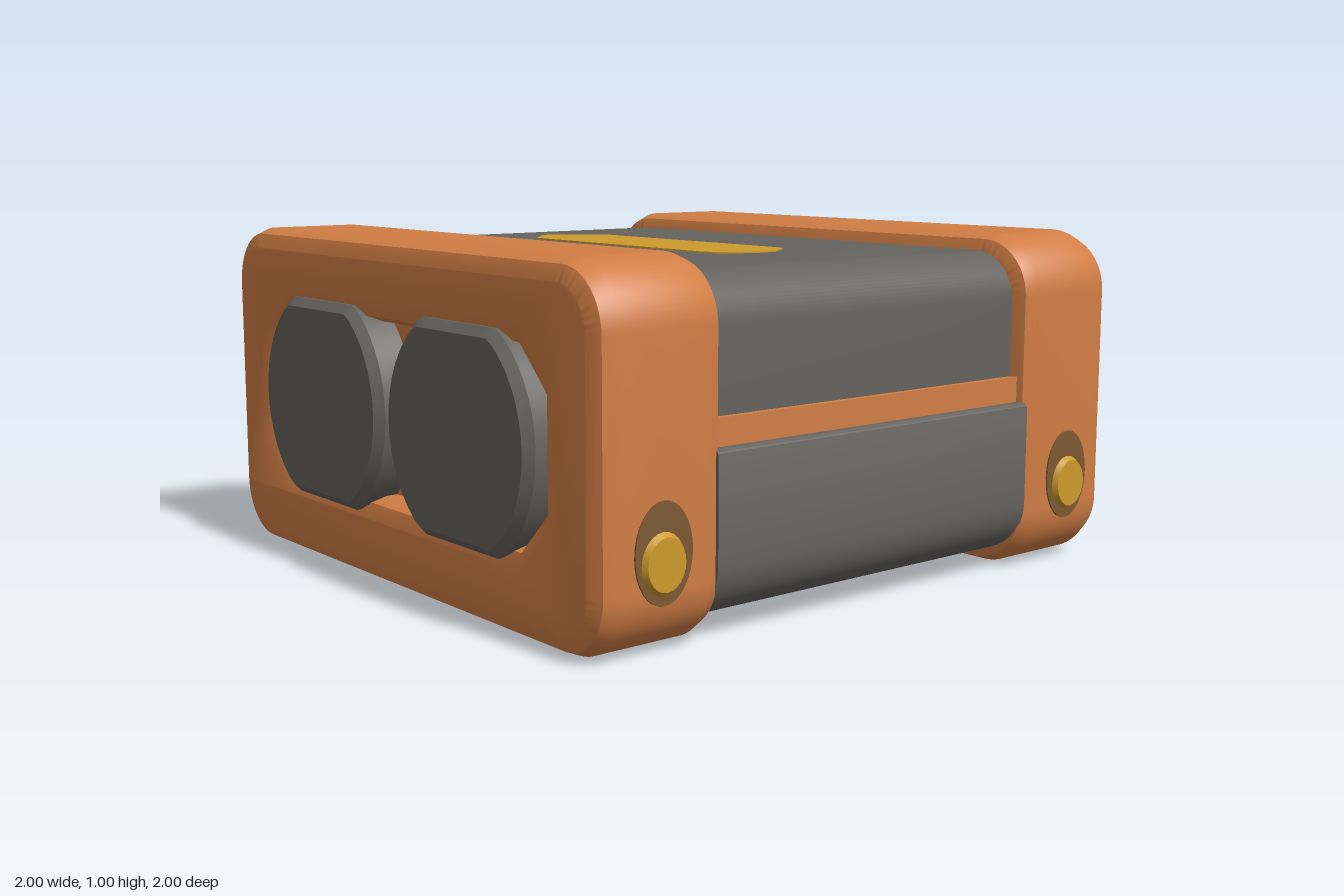
import * as THREE from 'three';
import { toCreasedNormals } from 'three/addons/utils/BufferGeometryUtils.js';

const material = (name, color) => {
  const m = new THREE.MeshStandardMaterial({ color });
  m.name = name;
  return m;
};

// Rounded rectangle with a separate radius for the bottom and top corners
function roundedRect(x, y0, y1, rBottom, rTop) {
  const s = new THREE.Shape();
  s.moveTo(-x + rBottom, y0);
  s.lineTo(x - rBottom, y0);
  if (rBottom) s.absarc(x - rBottom, y0 + rBottom, rBottom, -Math.PI / 2, 0);
  s.lineTo(x, y1 - rTop);
  if (rTop) s.absarc(x - rTop, y1 - rTop, rTop, 0, Math.PI / 2);
  s.lineTo(-x + rTop, y1);
  if (rTop) s.absarc(-x + rTop, y1 - rTop, rTop, Math.PI / 2, Math.PI);
  s.lineTo(-x, y0 + rBottom);
  if (rBottom) s.absarc(-x + rBottom, y0 + rBottom, rBottom, Math.PI, Math.PI * 1.5);
  return s;
}

const polygon = (points) => new THREE.Shape(points.map(([x, y]) => new THREE.Vector2(x, y)));

// Extrude between z0 and z1, with an optional inward bevel at both ends
function extrude(shape, z0, z1, bevel = 0, segments = 2) {
  const g = new THREE.ExtrudeGeometry(shape, {
    depth: z1 - z0 - 2 * bevel, curveSegments: 10, bevelEnabled: bevel > 0,
    bevelSize: bevel, bevelThickness: bevel, bevelOffset: -bevel, bevelSegments: segments,
  });
  g.translate(0, 0, z0 + bevel);
  return toCreasedNormals(g, 0.7);
}

export function createModel() {
  const orange = material('orange shell', 0xd27e45);
  const grey = material('dark grey', 0x65635e);
  const yellow = material('yellow', 0xcd9b2c);
  const brown = material('brown ring', 0x7d5a33);

  const model = new THREE.Group();
  model.name = 'twinBarrelCase';
  const add = (name, geometry, mat, parent = model) => {
    const mesh = new THREE.Mesh(geometry, mat);
    mesh.name = name;
    parent.add(mesh);
    return mesh;
  };

  // Two grey body halves with an orange seam between them
  add('upperBody', extrude(roundedRect(0.925, 0.56, 0.95, 0, 0.14), -0.6, 0.6), grey);
  add('lowerBody', extrude(roundedRect(0.975, 0.05, 0.51, 0.16, 0.02), -0.6, 0.6), grey);
  add('seam', new THREE.BoxGeometry(1.89, 0.1, 1.2).translate(0, 0.535, 0), orange);

  // Bumper frame outline with an octagonal opening
  const frameShape = roundedRect(0.98, 0, 1, 0.18, 0.18);
  frameShape.holes.push(new THREE.Path(polygon([
    [-0.72, 0.36], [-0.61, 0.25], [0.61, 0.25], [0.72, 0.36],
    [0.72, 0.65], [0.61, 0.76], [-0.61, 0.76], [-0.72, 0.65],
  ]).getPoints()));

  // Round lens outline, cut flat at top and bottom
  const lensPoints = [];
  for (let i = 0; i < 48; i++) {
    const a = (i / 48) * Math.PI * 2;
    lensPoints.push([0.352 * Math.cos(a), THREE.MathUtils.clamp(0.352 * Math.sin(a), -0.3, 0.3)]);
  }
  const lensShape = polygon(lensPoints);

  // Front and back ends
  for (const side of [1, -1]) {
    const end = new THREE.Group();
    end.name = side > 0 ? 'frontEnd' : 'backEnd';
    end.rotation.y = side > 0 ? 0 : Math.PI;
    model.add(end);

    add('bumperFrame', extrude(frameShape, 0.575, 0.972, 0.06), orange, end);
    add('recessFloor', new THREE.BoxGeometry(1.5, 0.56, 0.24).translate(0, 0.505, 0.76), orange, end);
    for (const x of [-0.376, 0.364]) {
      const lens = add('lensCap', extrude(lensShape, 0.8, 1, 0.025, 1), grey, end);
      lens.position.set(x * side, 0.505, 0);
    }

    // Oval buttons with a ring on both sides of the frame
    for (const x of [1, -1]) {
      const ring = new THREE.CylinderGeometry(1, 1, 0.035, 32).rotateZ(-Math.PI / 2);
      ring.scale(1, 0.133, 0.091);
      const ringMesh = add('buttonRing', ring, brown, end);
      ringMesh.position.set(x * 0.967, 0.275, 0.782);

      const button = new THREE.CylinderGeometry(0.72, 1, 0.04, 24).rotateZ(-Math.PI / 2);
      button.scale(1, 0.097, 0.083);
      const buttonMesh = add('button', button, yellow, end);
      buttonMesh.position.set(x * 0.98, 0.25, 0.785);
      if (x < 0) buttonMesh.rotation.y = Math.PI;
    }
  }

  // Yellow plate on the top, drawn in x and -z
  const topPlate = extrude(polygon([
    [-0.6, 0], [-0.57, -0.05], [-0.47, -0.14], [0.38, -0.145], [0.42, -0.12], [0.475, -0.04],
    [0.475, 0.05], [0.41, 0.14], [0.37, 0.155], [-0.46, 0.15], [-0.52, 0.1],
  ]), -0.003, 0.004);
  add('topPlate', topPlate.rotateX(-Math.PI / 2).translate(0, 0.95, 0), yellow);

  // Stepped yellow plate on the underside, drawn in x and z
  const bottomPlate = extrude(polygon([
    [0.21, -0.08], [0.21, 0.25], [-0.27, 0.25], [-0.27, 0.06], [-0.44, 0.07], [-0.48, -0.07],
  ]), -0.003, 0.004);
  add('bottomPlate', bottomPlate.rotateX(Math.PI / 2).translate(0, 0.05, 0), yellow);

  return model;
}
